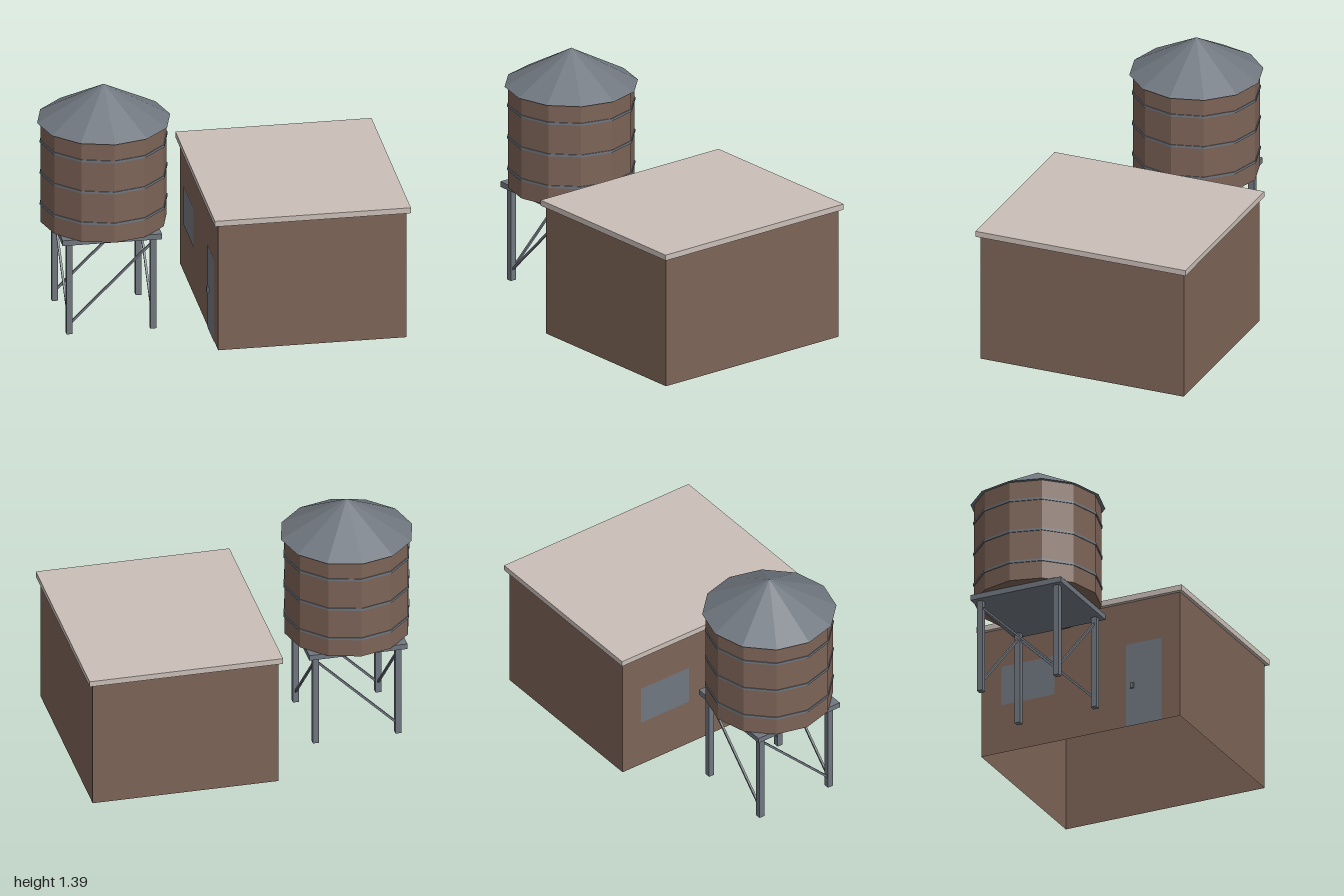
import * as THREE from 'three';

export function createModel() {
  const root = new THREE.Group();
  const material = (name, color, side = THREE.FrontSide) => {
    const m = new THREE.MeshStandardMaterial({ color, side, flatShading: true });
    m.name = name;
    return m;
  };
  const brown = material('brown wood', 0x7d6457, THREE.DoubleSide);
  const beige = material('beige roofing', 0xcbbfb8);
  const steel = material('grey steel', 0x70777f);

  const add = (parent, name, geometry, mat, x, y, z) => {
    const mesh = new THREE.Mesh(geometry, mat);
    mesh.name = name;
    mesh.position.set(x, y, z);
    parent.add(mesh);
    return mesh;
  };
  const box = (w, h, d) => new THREE.BoxGeometry(w, h, d);

  // Shed: four thin walls, open underneath, with an overhanging slab roof
  const shed = new THREE.Group();
  shed.name = 'shed';
  shed.position.x = 0.443;
  root.add(shed);
  const W = 1.06, D = 1.23, H = 0.76;
  for (let i = 0; i < 4; i++) {
    const alongX = i % 2 === 0;
    const a = i * Math.PI / 2;
    const r = (alongX ? D : W) / 2;
    const wall = add(shed, 'wall', new THREE.PlaneGeometry(alongX ? W : D, H), brown,
      Math.sin(a) * r, H / 2, Math.cos(a) * r);
    wall.rotation.y = a;
  }
  add(shed, 'slabRoof', box(1.105, 0.033, 1.27), beige, 0, 0.7735, 0);

  // Window, door and handle on the wall facing the tower
  const plate = (name, z0, z1, y0, y1) => {
    const p = add(shed, name, new THREE.PlaneGeometry(z1 - z0, y1 - y0), steel,
      -W / 2 - 0.003, (y0 + y1) / 2, (z0 + z1) / 2);
    p.rotation.y = -Math.PI / 2;
  };
  plate('window', -0.49, -0.16, 0.29, 0.525);
  plate('door', 0.28, 0.5, 0, 0.5);
  add(shed, 'doorHandle', box(0.014, 0.033, 0.02), steel, -W / 2 - 0.007, 0.243, 0.32);

  // Water tower: twelve-sided tank with hoops and a cone roof
  const tower = new THREE.Group();
  tower.name = 'waterTower';
  tower.position.x = -0.625;
  root.add(tower);
  add(tower, 'tank', new THREE.CylinderGeometry(0.355, 0.355, 0.6, 12), brown, 0, 0.88, 0);
  for (const y of [0.692, 0.88, 1.068]) {
    add(tower, 'hoop', new THREE.CylinderGeometry(0.36, 0.36, 0.014, 12), steel, 0, y, 0);
  }
  add(tower, 'coneRoof', new THREE.ConeGeometry(0.375, 0.21, 12), steel, 0, 1.285, 0);

  // Platform and legs
  add(tower, 'platform', box(0.56, 0.032, 0.56), steel, 0, 0.564, 0);
  const L = 0.236;
  for (const x of [-L, L]) {
    for (const z of [-L, L]) add(tower, 'leg', box(0.034, 0.55, 0.034), steel, x, 0.275, z);
  }

  // One diagonal brace on each side
  const brace = (x0, z0, x1, z1) => {
    const a = new THREE.Vector3(x0, 0.055, z0);
    const b = new THREE.Vector3(x1, 0.52, z1);
    const mid = a.clone().add(b).multiplyScalar(0.5);
    const bar = add(tower, 'brace', box(0.012, a.distanceTo(b), 0.012), steel, mid.x, mid.y, mid.z);
    bar.quaternion.setFromUnitVectors(new THREE.Vector3(0, 1, 0), b.sub(a).normalize());
  };
  for (const s of [-L, L]) {
    brace(-L, s, L, s);
    brace(s, L, s, -L);
  }
  return root;
}
